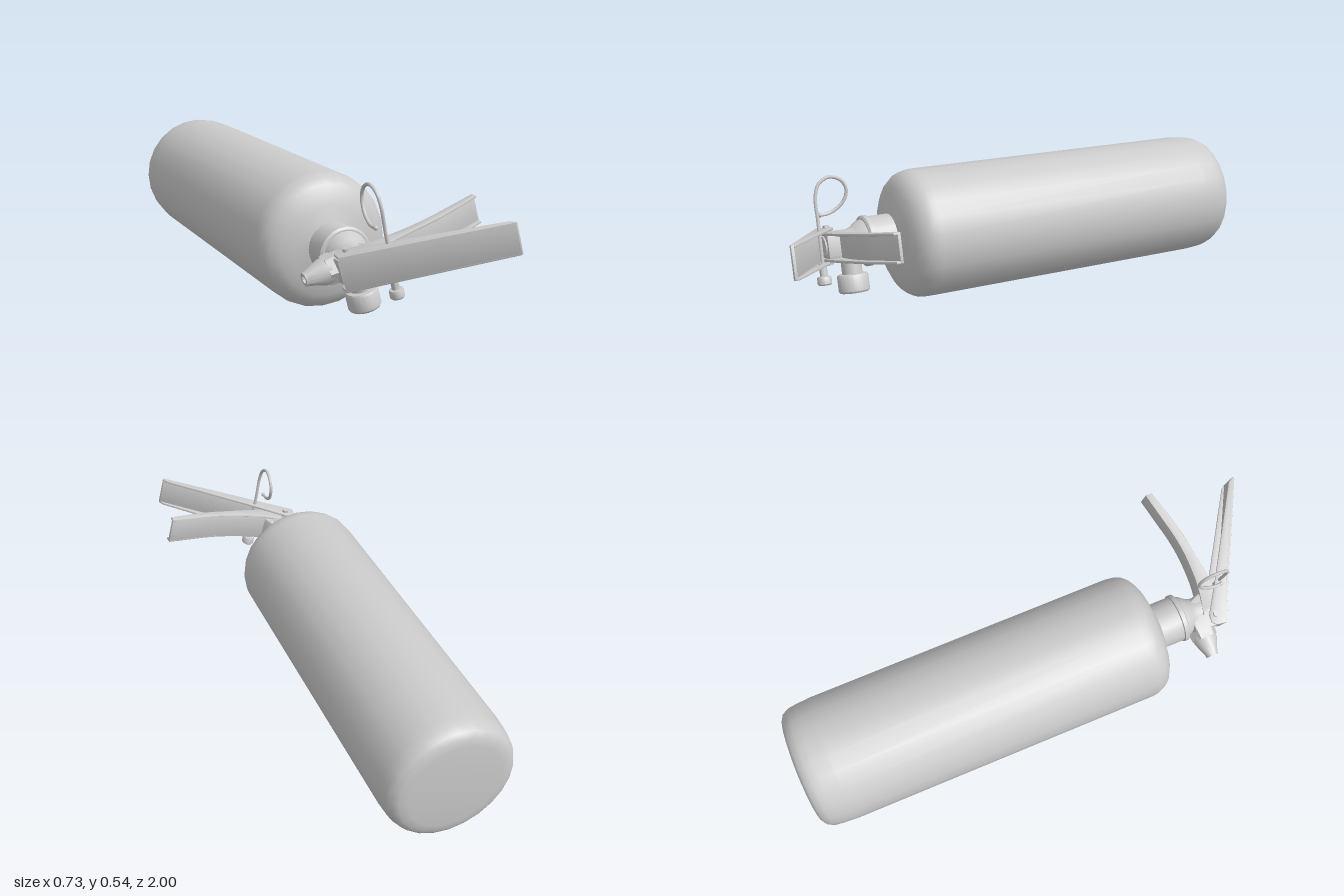
import * as THREE from 'three';
import { toCreasedNormals } from 'three/addons/utils/BufferGeometryUtils.js';

const material = new THREE.MeshStandardMaterial({ color: 0xcccccc, side: THREE.DoubleSide });

// Inside the assembly: x runs along the levers, y across them, z along the tank.
export function createModel() {
  const model = new THREE.Group();
  model.name = 'fireExtinguisher';
  const body = new THREE.Group();
  body.name = 'extinguisherAssembly';
  body.position.set(-0.108, 0.266, 0);
  body.rotation.set(-0.016, -0.025, THREE.MathUtils.degToRad(14.5));
  model.add(body);

  function add(name, geometry, crease = 0.6) {
    const mesh = new THREE.Mesh(crease ? toCreasedNormals(geometry, crease) : geometry, material);
    mesh.name = name;
    body.add(mesh);
    return mesh;
  }

  // Turned part from [radius, height] pairs
  const turned = (profile, sides) =>
    new THREE.LatheGeometry(profile.map(([r, h]) => new THREE.Vector2(r, h)), sides);

  // Outline in the x-z plane, given a width in y centred on yMid
  function slab(outline, width, yMid = 0, bevel = 0.003) {
    const shape = new THREE.Shape(outline.map(([x, z]) => new THREE.Vector2(x, z)));
    const g = new THREE.ExtrudeGeometry(shape, {
      depth: width - 2 * bevel, bevelEnabled: bevel > 0, bevelSize: bevel,
      bevelThickness: bevel, bevelOffset: -bevel, bevelSegments: 2,
    });
    g.rotateX(Math.PI / 2);
    return g.translate(0, yMid + width / 2 - bevel, 0);
  }

  // Narrow the lever towards its free end
  function taper(g) {
    const p = g.attributes.position;
    for (let i = 0; i < p.count; i++) p.setY(i, p.getY(i) * (1.02 - 0.22 * p.getX(i)));
    return g;
  }

  // Tank with rounded base and shoulder
  add('tank', turned([
    [0, -0.992], [0.175, -0.992], [0.205, -0.988], [0.226, -0.975], [0.238, -0.95],
    [0.242, -0.92], [0.246, -0.86], [0.247, 0.36], [0.244, 0.385], [0.234, 0.41],
    [0.215, 0.432], [0.185, 0.449], [0.145, 0.461], [0.09, 0.475],
  ], 24).rotateX(Math.PI / 2));

  // Neck with collar ridge
  add('neck', turned([
    [0.09, 0.46], [0.09, 0.56], [0.096, 0.562], [0.096, 0.578], [0.088, 0.584], [0, 0.584],
  ], 24).rotateX(Math.PI / 2));

  // Valve body and the block that carries the levers
  add('valveBody', turned([
    [0.084, 0.58], [0.078, 0.6], [0.062, 0.62], [0.052, 0.645], [0.05, 0.7], [0.04, 0.74], [0, 0.74],
  ], 20).rotateX(Math.PI / 2));
  add('valveBlock', slab([
    [-0.085, 0.61], [0.03, 0.61], [0.055, 0.67], [0.055, 0.735], [-0.01, 0.735], [-0.085, 0.71],
  ], 0.09, 0, 0.008));

  // Discharge nozzle with hexagonal collar
  const nozzle = turned([
    [0, 0.1], [0.048, 0.1], [0.046, 0.125], [0.026, 0.178], [0.024, 0.19], [0.014, 0.19], [0.012, 0.16], [0, 0.16],
  ], 16).rotateZ(Math.PI / 2);
  add('nozzle', nozzle).position.z = 0.642;
  const collar = new THREE.CylinderGeometry(0.052, 0.056, 0.035, 6).rotateZ(Math.PI / 2);
  add('nozzleCollar', collar).position.set(-0.095, 0, 0.642);

  // Pressure gauge on its stem
  add('gauge', turned([
    [0.038, 0], [0.038, 0.112], [0.054, 0.114], [0.058, 0.12], [0.058, 0.175],
    [0.053, 0.182], [0.046, 0.182], [0.044, 0.177], [0, 0.177],
  ], 20).rotateX(Math.PI)).position.set(0, 0, 0.638);

  // Squeeze lever: sloping plate and two side flanges
  const slope = (x) => 0.73 + 0.505 * (x + 0.09);
  add('squeezeLeverPlate', taper(slab([
    [-0.09, slope(-0.09)], [-0.083, slope(-0.09) - 0.015], [0.43, slope(0.43) - 0.015],
    [0.432, slope(0.43) - 0.005], [0.425, slope(0.425)],
  ], 0.126)));
  for (const side of [-1, 1]) {
    add('squeezeLeverFlange', taper(slab([
      [-0.09, slope(-0.09)], [-0.085, 0.69], [-0.07, 0.675], [-0.04, 0.677], [0.05, 0.735],
      [0.13, 0.785], [0.42, 0.963], [0.43, 0.98], [0.425, slope(0.425)],
    ], 0.01, side * 0.058)));
  }

  // Carrying handle: curved channel open towards the squeeze lever
  const sample = (pts) => new THREE.SplineCurve(pts.map(([x, z]) => new THREE.Vector2(x, z)))
    .getPoints(20).map((p) => [p.x, p.y]);
  const back = sample([[-0.03, 0.66], [0.08, 0.682], [0.2, 0.685], [0.3, 0.674], [0.4, 0.652], [0.49, 0.632]]);
  const rim = sample([[0.492, 0.658], [0.4, 0.685], [0.3, 0.71], [0.2, 0.724], [0.1, 0.738], [-0.02, 0.745]]);
  const inner = back.map(([x, z]) => [x + 0.002, z + 0.011]).reverse();
  add('carryHandlePlate', slab([...back, ...inner], 0.104));
  for (const side of [-1, 1]) {
    add('carryHandleFlange', slab([...back, ...rim], 0.01, side * 0.048));
  }

  // Pivot pin through the squeeze lever
  add('pivotPin', new THREE.CylinderGeometry(0.012, 0.012, 0.15, 12)).position.set(-0.045, 0, 0.703);

  // Safety pin: straight shaft bent into a pull loop
  const path = new THREE.CatmullRomCurve3([
    [0.068, -0.11, 0.77], [0.073, 0, 0.77], [0.076, 0.1, 0.77], [0.081, 0.19, 0.77], [0.084, 0.235, 0.752],
    [0.085, 0.254, 0.712], [0.083, 0.237, 0.668], [0.076, 0.2, 0.65],
    [0.066, 0.16, 0.663], [0.057, 0.133, 0.695], [0.053, 0.122, 0.725], [0.054, 0.121, 0.752],
  ].map((p) => new THREE.Vector3(...p)));
  add('safetyPin', new THREE.TubeGeometry(path, 72, 0.0065, 8), 0);
  add('safetyPinTip', new THREE.SphereGeometry(0.0085, 10, 8), 0).position.set(0.054, 0.121, 0.752);

  // Retaining knob at the foot of the safety pin
  add('pinKnob', turned([
    [0.014, 0.05], [0.014, 0.098], [0.024, 0.1], [0.026, 0.105], [0.026, 0.126], [0.022, 0.131], [0, 0.131],
  ], 14).rotateX(Math.PI)).position.set(0.067, 0, 0.77);

  return model;
}
